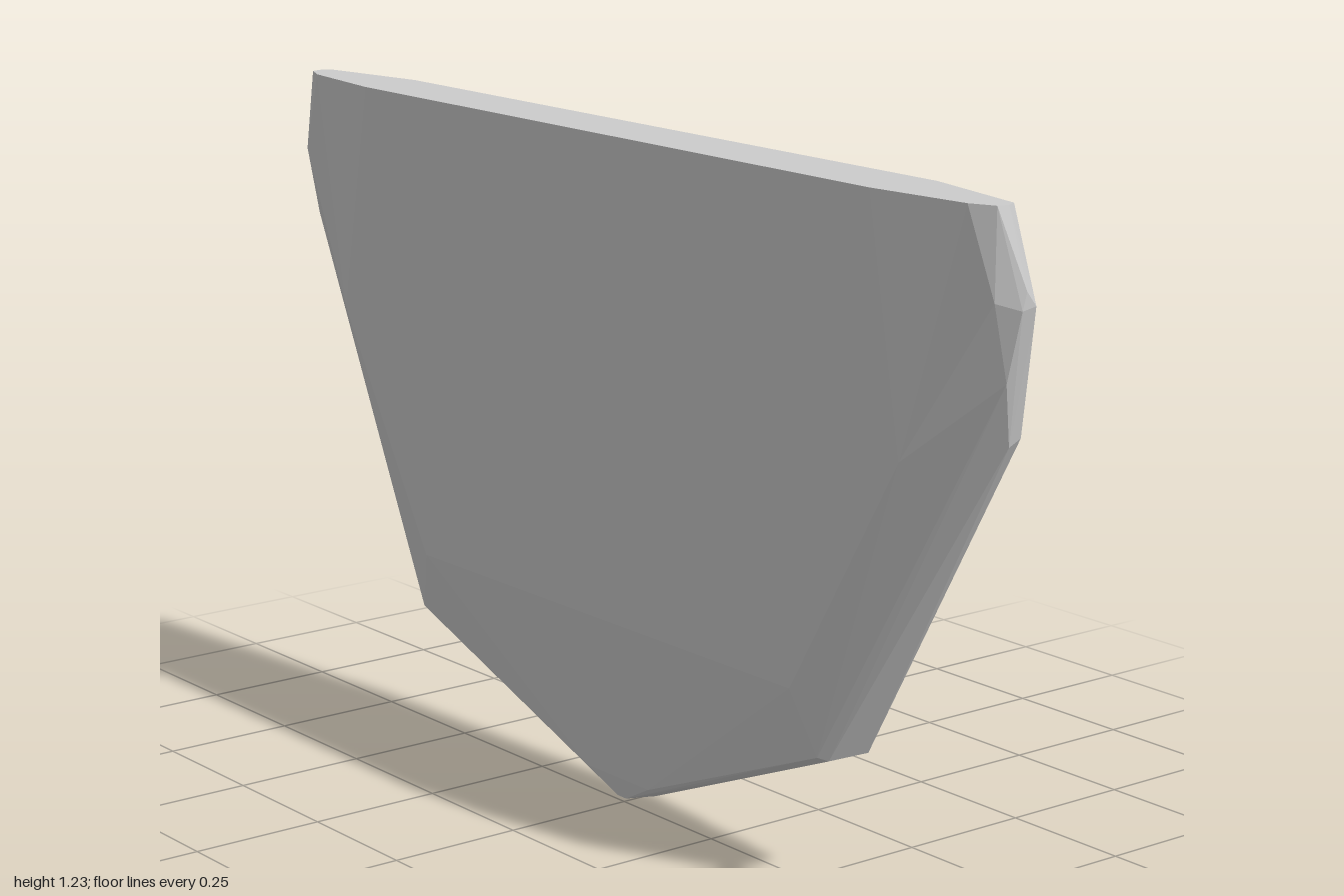
import * as THREE from 'three';
import { ConvexGeometry } from 'three/addons/geometries/ConvexGeometry.js';

// Corners of one half (x, y, z); each is mirrored across z = 0
const corners = [
  // flat broad face on +x
  [0.063, 0, 0.012], [0.063, 0.237, 0.59], [0.058, 0.85, 0.94], [0.063, 1.23, 0.73],
  // broad face on -x, with a lower part that tapers to the tip
  [-0.063, 0.36, 0.53], [-0.063, 0.8, 0.79], [-0.063, 1.23, 0.71],
  [-0.038, 0.245, 0.575], [-0.025, 0.24, 0.59], [-0.005, 0.01, 0.012], [-0.016, 0.05, 0.09],
  // rounded end edge
  [0.028, 0.84, 0.945], [-0.003, 0.95, 0.968], [-0.003, 1.07, 0.999], [0.025, 1.075, 1],
  [0.005, 1.1, 1], [-0.03, 1.08, 0.965],
  // rim of the flat top
  [0.02, 1.23, 0.95], [0.0, 1.23, 0.96], [-0.02, 1.23, 0.955], [-0.04, 1.23, 0.91],
];

export function createModel() {
  const group = new THREE.Group();
  group.name = 'bevelledPlate';

  const points = [];
  for (const [x, y, z] of corners) {
    for (const side of [1, -1]) points.push(new THREE.Vector3(x, y, z * side));
  }

  // Faceted slab
  const plate = new THREE.Mesh(
    new ConvexGeometry(points),
    new THREE.MeshStandardMaterial({ color: 0xcccccc, flatShading: true })
  );
  plate.name = 'plate';
  group.add(plate);
  return group;
}
